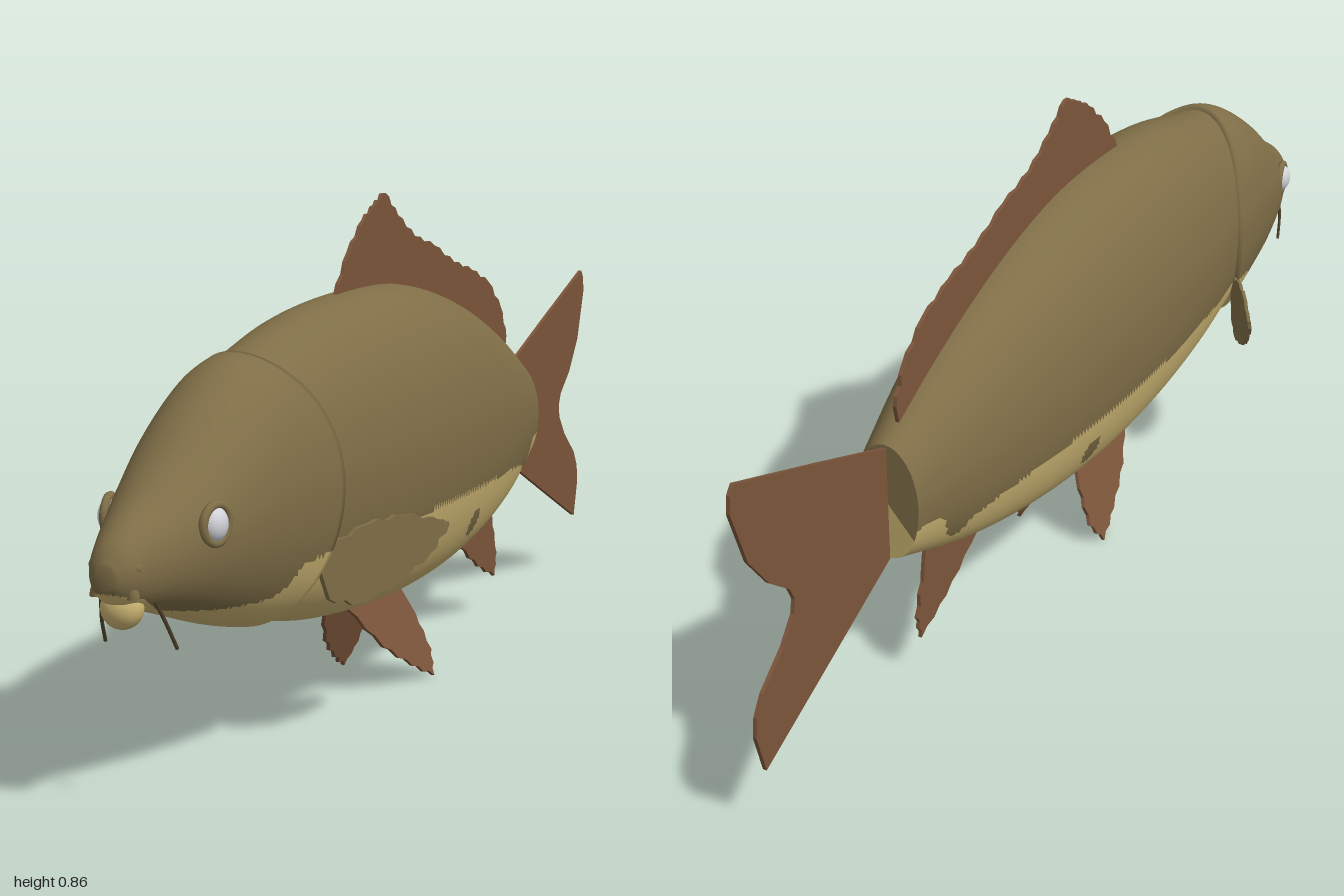
import * as THREE from 'three';

const mat = (name, color, side = THREE.FrontSide) => {
  const m = new THREE.MeshStandardMaterial({ color, side });
  m.name = name;
  return m;
};

// Body stations: z, top y, bottom y, half width
const STATIONS = [
  [1.0, 0.385, 0.35, 0.016], [0.985, 0.41, 0.33, 0.034], [0.95, 0.44, 0.313, 0.05],
  [0.9, 0.468, 0.3, 0.07], [0.83, 0.515, 0.278, 0.094], [0.75, 0.572, 0.255, 0.112],
  [0.65, 0.626, 0.23, 0.122], [0.57, 0.645, 0.213, 0.129], [0.4, 0.685, 0.18, 0.146],
  [0.2, 0.704, 0.162, 0.157], [0, 0.7, 0.162, 0.155], [-0.2, 0.658, 0.182, 0.136],
  [-0.4, 0.585, 0.225, 0.102], [-0.58, 0.498, 0.288, 0.06],
];

// Height of the colour border between back and belly along z
const BORDER = [
  [1, 0.345], [0.95, 0.33], [0.9, 0.305], [0.8, 0.285], [0.7, 0.278], [0.64, 0.285], [0.6, 0.32],
  [0.4, 0.328], [0, 0.335], [-0.3, 0.328], [-0.44, 0.31], [-0.465, 0.288], [-0.495, 0.3],
  [-0.52, 0.35], [-0.6, 0.352],
];

// Smooth interpolation of column k in a table sorted by falling z
function sample(table, z, k) {
  let i = 0;
  while (i < table.length - 2 && z < table[i + 1][0]) i++;
  const slope = (j) => {
    const a = table[Math.max(j - 1, 0)], b = table[Math.min(j + 1, table.length - 1)];
    return (b[k] - a[k]) / (b[0] - a[0]);
  };
  const p = table[i], q = table[i + 1], h = q[0] - p[0];
  const t = THREE.MathUtils.clamp((z - p[0]) / h, 0, 1), t2 = t * t, t3 = t2 * t;
  return (2 * t3 - 3 * t2 + 1) * p[k] + (t3 - 2 * t2 + t) * h * slope(i)
    + (3 * t2 - 2 * t3) * q[k] + (t3 - t2) * h * slope(i + 1);
}

// Point on the skin; grow offsets it outwards, scale shrinks it to the axis
function skin(z, angle, grow = 0, scale = 1) {
  const top = sample(STATIONS, z, 1), bottom = sample(STATIONS, z, 2), w = sample(STATIONS, z, 3);
  const s = Math.sin(angle), c = Math.cos(angle);
  const fullness = c > 0 ? 0.86 : 1;
  const x = Math.sign(s) * Math.pow(Math.abs(s), fullness) * (w + grow) * scale;
  return [x, (top + bottom) / 2 - c * ((top - bottom) / 2 + grow) * scale, z];
}

const isBelly = (y, z) => y < sample(BORDER, z, 1) && Math.hypot(z + 0.09, y - 0.265) > 0.026;

// Loft of rings from front to back, sorted into back and belly colours
function loft(rows, cols, place, materials) {
  const pos = [], back = [], belly = [];
  for (let i = 0; i < rows; i++)
    for (let j = 0; j < cols; j++) pos.push(...place(i, (j / cols) * Math.PI * 2));
  const add = (...tri) => {
    const mean = (k) => tri.reduce((sum, v) => sum + pos[v * 3 + k], 0) / 3;
    (isBelly(mean(1), mean(2)) ? belly : back).push(...tri);
  };
  for (let i = 0; i < rows - 1; i++)
    for (let j = 0; j < cols; j++) {
      const a = i * cols + j, b = i * cols + ((j + 1) % cols);
      add(a, a + cols, b);
      add(b, a + cols, b + cols);
    }
  const geo = new THREE.BufferGeometry();
  geo.setAttribute('position', new THREE.Float32BufferAttribute(pos, 3));
  geo.setIndex([...back, ...belly]);
  geo.addGroup(0, back.length, 0);
  geo.addGroup(back.length, belly.length, 1);
  geo.computeVertexNormals();
  return new THREE.Mesh(geo, materials);
}

// Thin fin from a (z, y) outline; the first `ragged` edges are frayed,
// and lean(z, y) gives the sideways position
function fin(outline, ragged, material, lean = () => 0) {
  const depth = 0.007, pts = [];
  outline.forEach(([z, y], i) => {
    pts.push(new THREE.Vector2(-z, y));
    if (i >= ragged) return;
    const [z2, y2] = outline[(i + 1) % outline.length];
    const len = Math.hypot(z2 - z, y2 - y);
    for (let k = 1; k < 4; k++) {
      const t = k / 4, d = k % 2 ? 0.004 : -0.002;
      pts.push(new THREE.Vector2(-(z + (z2 - z) * t + (d * (y2 - y)) / len),
        y + (y2 - y) * t - (d * (z2 - z)) / len));
    }
  });
  const geo = new THREE.ExtrudeGeometry(new THREE.Shape(pts), { depth, bevelEnabled: false });
  const p = geo.attributes.position;
  for (let i = 0; i < p.count; i++) {
    const z = -p.getX(i), y = p.getY(i);
    p.setXYZ(i, p.getZ(i) - depth / 2 + lean(z, y), y, z);
  }
  geo.computeVertexNormals();
  return new THREE.Mesh(geo, material);
}

export function createModel() {
  const olive = mat('olive back', 0x7f6e47);
  const tan = mat('tan belly', 0xcab372);
  const brown = mat('brown fin', 0x7c553b);
  const white = mat('pale eye', 0xd2d3d8);
  const dark = mat('dark barbel', 0x4a3f28);
  const model = new THREE.Group();
  const add = (name, mesh) => {
    mesh.name = name;
    model.add(mesh);
    return mesh;
  };
  const ball = (name, material, p, s) => {
    const m = add(name, new THREE.Mesh(new THREE.SphereGeometry(1, 24, 16), material));
    m.position.set(...p);
    m.scale.set(...s);
  };

  // Trunk, closed at the tail root
  const N = 130;
  add('body', loft(N + 3, 112, (i, a) => {
    const z = 0.72 - 1.3 * Math.min(i / N, 1);
    return skin(z, a, z > 0.6 ? -0.004 : 0, i > N + 1 ? 0 : 1);
  }, [olive, tan]));

  // Head shell with rounded gill covers that overlap the trunk
  const H = 54;
  add('head', loft(H + 3, 112, (i, a) => {
    if (i === 0) return skin(1, a, 0, 0);
    const t = Math.min((i - 1) / H, 1);
    const rear = 0.6 - 0.095 * Math.sin(a) ** 2;
    const z = 1 - (1 - rear) * Math.pow(t, 1.25);
    const swell = 0.008 * THREE.MathUtils.smoothstep(t, 0.45, 0.9);
    return skin(z, a, i > H + 1 ? -0.006 : swell);
  }, [olive, tan]));

  // Mouth
  ball('lowerLip', tan, [0, 0.316, 0.952], [0.033, 0.032, 0.028]);
  const lip = add('upperLip', new THREE.Mesh(
    new THREE.TorusGeometry(0.03, 0.01, 10, 24, Math.PI), olive));
  lip.position.set(0, 0.335, 0.972);

  for (const s of [1, -1]) {
    const side = s > 0 ? 'left' : 'right';
    ball(side + 'Nostril', olive, [s * 0.032, 0.38, 0.967], [0.011, 0.011, 0.012]);

    // Eye in a low socket rim
    ball(side + 'Eye', white, [s * 0.086, 0.423, 0.832], [0.02, 0.027, 0.025]);
    const rim = add(side + 'EyeRim', new THREE.Mesh(
      new THREE.TorusGeometry(0.029, 0.007, 8, 28), olive));
    rim.position.set(s * 0.089, 0.423, 0.832);
    rim.rotation.y = s * (Math.PI / 2 - 0.2);

    // Barbel at the corner of the mouth
    const path = new THREE.CatmullRomCurve3([
      new THREE.Vector3(s * 0.045, 0.325, 0.935),
      new THREE.Vector3(s * 0.054, 0.29, 0.92),
      new THREE.Vector3(s * 0.06, 0.25, 0.9),
    ]);
    add(side + 'Barbel', new THREE.Mesh(new THREE.TubeGeometry(path, 10, 0.003, 6), dark));

    add(side + 'PectoralFin', fin([
      [0.54, 0.3], [0.525, 0.335], [0.46, 0.363], [0.4, 0.37], [0.34, 0.353], [0.325, 0.345],
      [0.358, 0.3], [0.41, 0.262], [0.475, 0.236], [0.525, 0.25],
    ], 9, olive, (z) => s * (0.137 + (0.5 - z) * 0.6)));

    add(side + 'PelvicFin', fin([
      [0.245, 0.165], [0.17, 0.085], [0.09, 0.035], [0.025, 0.004], [0, 0.045],
      [0.01, 0.11], [0.035, 0.17], [0.1, 0.2], [0.2, 0.2],
    ], 5, brown, (z, y) => s * (0.025 + (0.16 - y) * 0.41)));
  }

  // Fins on the middle line
  add('dorsalFin', fin([
    [0.24, 0.7], [0.185, 0.77], [0.125, 0.82], [0.08, 0.843], [0.04, 0.862], [-0.015, 0.82],
    [-0.09, 0.778], [-0.18, 0.755], [-0.275, 0.717], [-0.365, 0.695], [-0.45, 0.665],
    [-0.515, 0.61], [-0.545, 0.55], [-0.53, 0.48], [-0.3, 0.57], [0, 0.65], [0.2, 0.67],
  ], 12, brown));
  add('analFin', fin([
    [-0.24, 0.195], [-0.315, 0.165], [-0.405, 0.11], [-0.49, 0.075], [-0.5, 0.12],
    [-0.475, 0.2], [-0.46, 0.29], [-0.3, 0.24],
  ], 5, brown));
  add('tailFin', fin([
    [-0.56, 0.485], [-0.77, 0.565], [-0.985, 0.645], [-0.997, 0.63], [-1, 0.6], [-0.965, 0.5],
    [-0.915, 0.435], [-0.865, 0.395], [-0.853, 0.37], [-0.858, 0.345], [-0.89, 0.305],
    [-0.95, 0.257], [-0.97, 0.225], [-0.975, 0.19], [-0.955, 0.117], [-0.77, 0.2], [-0.56, 0.295],
  ], 0, brown));
  return model;
}
